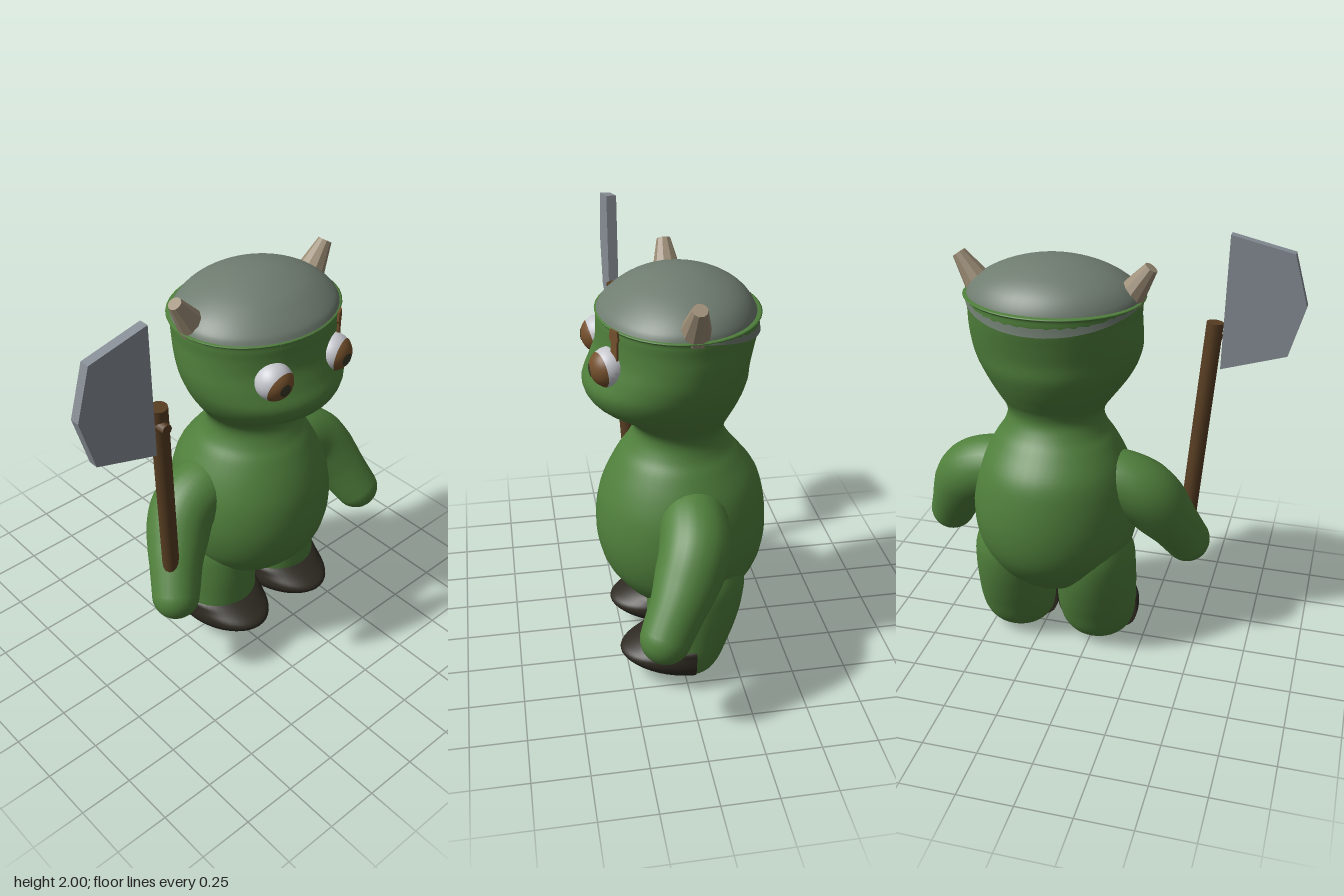
import * as THREE from 'three';

const CX = 0.175; // middle of the body

function mat(name, color) {
  const m = new THREE.MeshStandardMaterial({ color });
  m.name = name;
  return m;
}

// Smooth upright loft; rows are [y, half width, front z, back z]
function loft(rows, steps = 48, sides = 40, rule = null) {
  const width = new THREE.SplineCurve(rows.map(r => new THREE.Vector2(r[0], r[1])));
  const depth = new THREE.CatmullRomCurve3(
    rows.map(r => new THREE.Vector3(r[0], r[2], r[3])), false, 'catmullrom', 0.5);
  const pos = [], index = [];
  const v = new THREE.Vector3();
  for (let i = 0; i <= steps; i++) {
    const w = width.getPoint(i / steps), d = depth.getPoint(i / steps);
    for (let j = 0; j < sides; j++) {
      const a = (j / sides) * Math.PI * 2;
      v.set(Math.max(w.y, 0) * Math.cos(a), w.x, (d.y + d.z) / 2 + ((d.y - d.z) / 2) * Math.sin(a));
      if (rule) rule(v);
      pos.push(v.x, v.y, v.z);
      if (i < steps) {
        const p = i * sides + j, q = i * sides + ((j + 1) % sides);
        index.push(p, p + sides, q, q, p + sides, q + sides);
      }
    }
  }
  const g = new THREE.BufferGeometry();
  g.setAttribute('position', new THREE.Float32BufferAttribute(pos, 3));
  g.setIndex(index);
  g.computeVertexNormals();
  return g;
}

// Tube whose radius changes along the path
function taperedTube(points, radii, segs = 32, sides = 24) {
  const path = new THREE.CatmullRomCurve3(points);
  const g = new THREE.TubeGeometry(path, segs, 0.1, sides);
  const p = g.attributes.position, n = g.attributes.normal;
  for (let k = 0; k < p.count; k++) {
    const t = (Math.floor(k / (sides + 1)) / segs) * (radii.length - 1);
    const i = Math.min(Math.floor(t), radii.length - 2);
    const grow = THREE.MathUtils.lerp(radii[i], radii[i + 1], t - i) - 0.1;
    p.setXYZ(k, p.getX(k) + n.getX(k) * grow, p.getY(k) + n.getY(k) * grow, p.getZ(k) + n.getZ(k) * grow);
  }
  return g;
}

// Straight rod between two points
function rod(a, b, ra, rb, sides) {
  const dir = b.clone().sub(a);
  const g = new THREE.CylinderGeometry(rb, ra, dir.length(), sides);
  g.applyQuaternion(new THREE.Quaternion().setFromUnitVectors(new THREE.Vector3(0, 1, 0), dir.normalize()));
  const c = a.clone().add(b).multiplyScalar(0.5);
  return g.translate(c.x, c.y, c.z);
}

export function createModel() {
  const skin = mat('green skin', 0x50803c);
  const capGrey = mat('cap grey', 0x6f7c70);
  const bootDark = mat('boot dark', 0x2e2a22);
  const horn = mat('horn tan', 0x9b8c75);
  const wood = mat('handle brown', 0x573d22);
  const steel = mat('blade steel', 0x888e96);
  const white = mat('eye white', 0xc6c8ce);
  const iris = mat('iris brown', 0x75502c);
  const pupil = mat('pupil dark', 0x3b3a28);
  const V = (x, y, z) => new THREE.Vector3(x, y, z);

  const group = new THREE.Group();
  const add = (name, geometry, material, x = 0, y = 0, z = 0) => {
    const m = new THREE.Mesh(geometry, material);
    m.name = name;
    m.position.set(x, y, z);
    group.add(m);
    return m;
  };

  // Torso, neck and head in one smooth form
  add('body', loft([
    [0.31, 0, -0.05, -0.05], [0.325, 0.14, 0.1, -0.18], [0.4, 0.27, 0.225, -0.28],
    [0.5, 0.34, 0.31, -0.355], [0.6, 0.375, 0.35, -0.392], [0.72, 0.388, 0.365, -0.403],
    [0.85, 0.372, 0.352, -0.39], [0.96, 0.335, 0.315, -0.358], [1.06, 0.282, 0.262, -0.285],
    [1.12, 0.242, 0.22, -0.237], [1.18, 0.222, 0.192, -0.207], [1.23, 0.232, 0.2, -0.212],
    [1.28, 0.268, 0.25, -0.237], [1.35, 0.322, 0.365, -0.272], [1.43, 0.364, 0.404, -0.3],
    [1.51, 0.385, 0.375, -0.307], [1.59, 0.388, 0.345, -0.322], [1.66, 0.386, 0.338, -0.336],
    [1.72, 0.388, 0.334, -0.34], [1.74, 0.37, 0.31, -0.32], [1.75, 0, 0, 0],
  ], 100), skin, CX);

  // Cap, dipping lower at the back of the head
  add('cap', loft([
    [1.73, 0.392, 0.339, -0.346], [1.765, 0.375, 0.315, -0.33], [1.81, 0.325, 0.262, -0.285],
    [1.85, 0.25, 0.2, -0.222], [1.88, 0.16, 0.125, -0.145], [1.895, 0.08, 0.06, -0.08],
    [1.9, 0, -0.01, -0.01],
  ], 32, 48, v => {
    const back = THREE.MathUtils.clamp(-v.z / 0.345, 0, 1);
    v.y -= 0.075 * back ** 1.4 * Math.max(0, (1.9 - v.y) / 0.17) ** 4;
  }), capGrey, CX);

  const legRows = [
    [0, 0, -0.02, -0.02], [0.008, 0.06, 0.03, -0.07], [0.05, 0.128, 0.09, -0.135],
    [0.1, 0.168, 0.135, -0.17], [0.18, 0.188, 0.16, -0.202], [0.28, 0.19, 0.165, -0.238],
    [0.4, 0.19, 0.165, -0.268], [0.52, 0.18, 0.15, -0.275], [0.64, 0.13, 0.1, -0.24],
  ];
  const bootRows = [[0.045, 0.11, 0.08], [0.06, 0.142, 0.13], [0.09, 0.178, 0.23], [0.13, 0.195, 0.285],
    [0.16, 0.198, 0.285], [0.19, 0.197, 0.23], [0.22, 0.194, 0.17], [0.236, 0.15, 0.13],
    [0.238, 0, 0.05]].map(([y, w, f]) => [y, w, f, -0.06 - f]);

  for (const s of [-1, 1]) {
    const side = s > 0 ? 'left' : 'right';

    // Leg with a dark toe covering
    add(side + 'Leg', loft(legRows, 40, 32), skin, CX + s * 0.2);
    add(side + 'Boot', loft(bootRows, 32, 48, v => { v.z = Math.max(v.z, -0.03); }), bootDark, CX + s * 0.2);

    // Arm and rounded hand
    add(side + 'Arm', taperedTube([
      V(CX + s * 0.15, 0.86, -0.03), V(CX + s * 0.3, 0.865, -0.025), V(CX + s * 0.42, 0.81, -0.01),
      V(CX + s * 0.51, 0.68, 0.05), V(CX + s * 0.6, 0.5, 0.145),
    ], [0.13, 0.148, 0.155, 0.145, 0.122, 0.11]), skin);
    add(side + 'Hand', new THREE.SphereGeometry(0.11, 28, 20), skin, CX + s * 0.6, 0.5, 0.145);

    // Horn
    add(side + 'Horn', rod(V(CX + s * 0.335, 1.75, -0.015), V(CX + s * 0.428, 1.886, -0.015), 0.068, 0.031, 10)
      .toNonIndexed(), horn).geometry.computeVertexNormals();

    // Eyeball with painted iris and pupil
    const eye = new THREE.Group();
    eye.name = side + 'Eye';
    eye.position.set(CX + s * 0.174, 1.565, 0.302);
    const disc = (name, radius, spread, dir, material) => {
      const m = new THREE.Mesh(new THREE.SphereGeometry(radius, 28, 16, 0, Math.PI * 2, 0, spread), material);
      m.name = name;
      m.quaternion.setFromUnitVectors(V(0, 1, 0), dir.normalize());
      eye.add(m);
    };
    disc('eyeball', 0.084, Math.PI, V(0, 1, 0), white);
    disc('iris', 0.086, 1.05, s > 0 ? V(0.35, -0.12, 1) : V(0.05, -0.3, 1), iris);
    disc('pupil', 0.088, 0.33, V(s > 0 ? 0.05 : -0.1, -0.08, 1), pupil);
    group.add(eye);
  }

  // Brown streak above the left eye
  const streak = new THREE.Shape([[-0.02, -0.08], [0.02, -0.08], [0.022, 0.01], [0.03, 0.025], [0.024, 0.06],
    [-0.022, 0.06], [-0.028, 0.02], [-0.016, 0.005]].map(p => new THREE.Vector2(...p)));
  const brow = add('browStreak', new THREE.ExtrudeGeometry(streak, { depth: 0.009, bevelEnabled: false }),
    iris, CX + 0.217, 1.68, 0.284);
  brow.rotation.y = Math.PI / 6;

  // Axe: handle, peg and flat blade
  add('axeHandle', rod(V(-0.43, 0.66, 0.125), V(-0.503, 1.6, 0.178), 0.038, 0.038, 14), wood);
  add('axePeg', rod(V(-0.508, 1.52, 0.17), V(-0.508, 1.52, 0.235), 0.028, 0.024, 8), wood);
  const blade = new THREE.Shape([[-0.893, 1.71], [-0.828, 1.48], [-0.538, 1.39], [-0.553, 2.0], [-0.828, 1.937]]
    .map(p => new THREE.Vector2(...p)));
  add('axeBlade', new THREE.ExtrudeGeometry(blade, { depth: 0.045, bevelEnabled: false }), steel, 0, 0, 0.155);

  return group;
}
